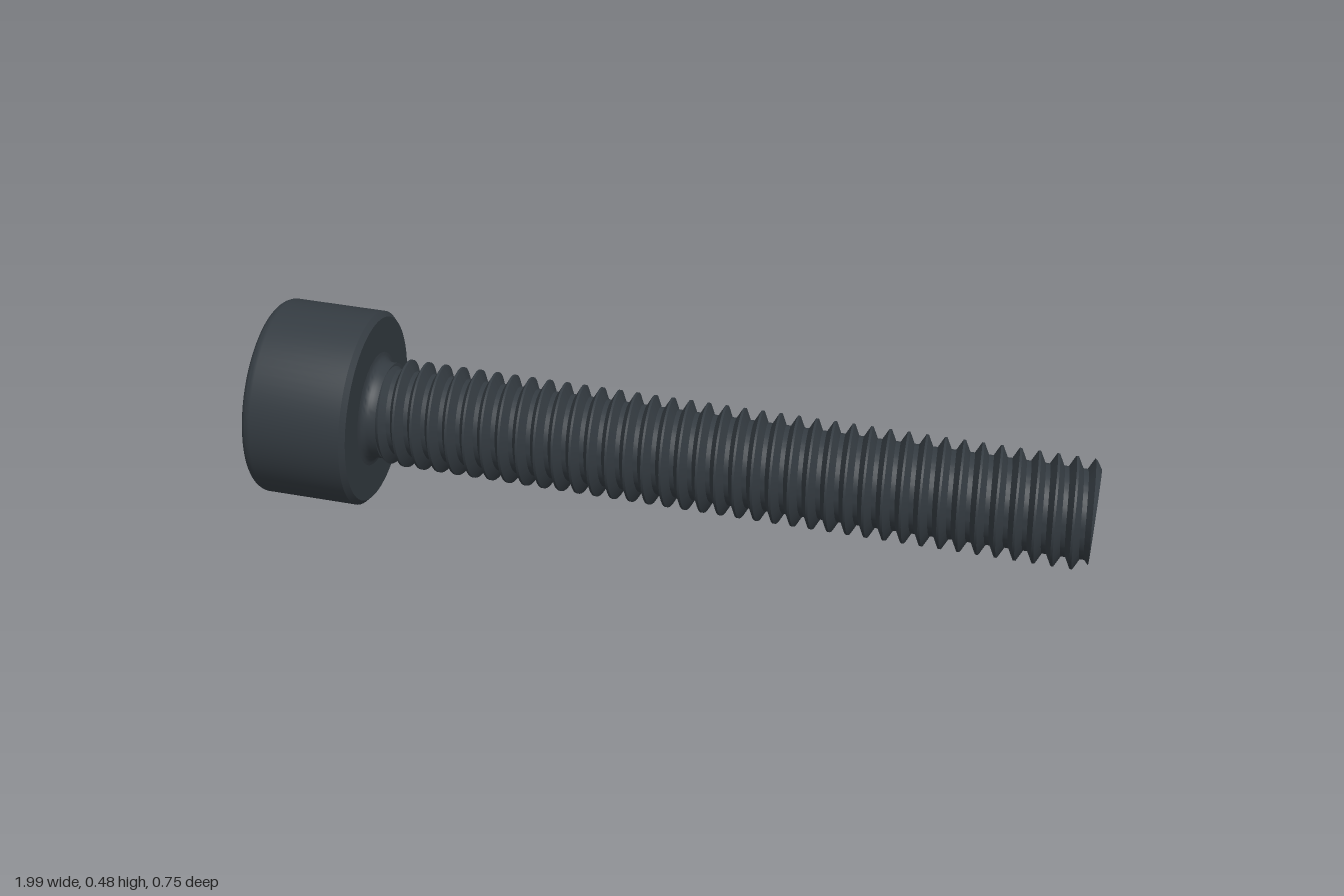
import * as THREE from 'three';
import { toCreasedNormals } from 'three/addons/utils/BufferGeometryUtils.js';

const SIDES = 72;
const HEAD_R = 0.2357, HEAD_H = 0.257, LENGTH = 1.971;
const MAJOR = 0.1286, MINOR = 0.103, TIP_R = 0.114, PITCH = 0.04285;

// Skin over rings running along y; each ring gives [radius, y] for an angle.
function loft(rings, crease = 0.5) {
  const rows = rings.map((ring) => {
    const row = [];
    for (let j = 0; j <= SIDES; j++) {
      const a = (j / SIDES) * Math.PI * 2;
      const [r, y] = ring(a);
      row.push(new THREE.Vector3(r * Math.cos(a), y, -r * Math.sin(a)));
    }
    return row;
  });
  const positions = [];
  const tri = new THREE.Triangle();
  const add = (a, b, c) => {
    if (tri.set(a, b, c).getArea() > 1e-9) positions.push(...a, ...b, ...c);
  };
  for (let i = 0; i < rows.length - 1; i++) {
    for (let j = 0; j < SIDES; j++) {
      const a = rows[i], b = rows[i + 1];
      add(a[j], a[j + 1], b[j + 1]);
      add(a[j], b[j + 1], b[j]);
    }
  }
  const geometry = new THREE.BufferGeometry();
  geometry.setAttribute('position', new THREE.Float32BufferAttribute(positions, 3));
  return toCreasedNormals(geometry, crease);
}

const circle = (r, y) => () => [r, y];

// Hexagonal socket with a conical lead-in
function socketGeometry() {
  const apothem = 0.107, mouth = 0.127, depth = 0.135;
  const hexR = (a) => {
    const sector = Math.PI / 3;
    return apothem / Math.cos((a % sector) - sector / 2);
  };
  return loft([
    circle(0, depth),
    (a) => [hexR(a), depth],
    (a) => [hexR(a), (mouth - hexR(a)) * 0.6],
    circle(mouth, 0),
  ]);
}

// Cylinder head: rounded outer rim, small chamfer underneath
function headGeometry() {
  const round = 0.026, chamfer = 0.012;
  const rings = [circle(0.127, 0)];
  for (let i = 0; i <= 6; i++) {
    const t = (i / 6) * Math.PI / 2;
    rings.push(circle(HEAD_R - round + round * Math.sin(t), round - round * Math.cos(t)));
  }
  rings.push(
    circle(HEAD_R, HEAD_H - chamfer),
    circle(HEAD_R - chamfer, HEAD_H),
    circle(0.1, HEAD_H),
  );
  return loft(rings);
}

// Filleted neck between head and thread
function neckGeometry() {
  const r = 0.116, fillet = 0.022, rings = [];
  for (let i = 0; i <= 5; i++) {
    const t = (i / 5) * Math.PI / 2;
    rings.push(circle(r + fillet * (1 - Math.sin(t)), HEAD_H + fillet * (1 - Math.cos(t))));
  }
  rings.push(circle(r, 0.293), circle(0.09, 0.297));
  return loft(rings);
}

// Right-handed helical thread, tapered at both ends and closed by a flat tip
function threadGeometry() {
  const start = 0.285, marks = [0, 0.125, 0.4375, 0.6875];
  const profile = (f) => {
    f -= Math.floor(f);
    if (f <= 0.125) return MAJOR;
    if (f < 0.4375) return THREE.MathUtils.mapLinear(f, 0.125, 0.4375, MAJOR, MINOR);
    if (f <= 0.6875) return MINOR;
    return THREE.MathUtils.mapLinear(f, 0.6875, 1, MINOR, MAJOR);
  };
  const envelope = (y) => Math.min(0.112 + (y - start) * 0.6, TIP_R + (LENGTH - y) * 0.9);
  const rings = [];
  const turns = Math.ceil((LENGTH - start) / PITCH);
  for (let k = -1; k <= turns; k++) {
    for (const m of marks) {
      rings.push((a) => {
        const turn = a / (Math.PI * 2);
        const y = THREE.MathUtils.clamp(start + PITCH * (k + m + turn), start, LENGTH);
        return [Math.min(profile((y - start) / PITCH - turn + 1e-7), envelope(y)), y];
      });
    }
  }
  rings.push(circle(0, LENGTH));
  return loft(rings);
}

export function createModel() {
  const steel = new THREE.MeshStandardMaterial({ color: 0x343b41 });
  steel.name = 'dark steel';

  const screw = new THREE.Group();
  screw.name = 'socketScrew';
  const parts = {
    head: headGeometry(),
    hexSocket: socketGeometry(),
    neck: neckGeometry(),
    threadedShaft: threadGeometry(),
  };
  for (const [name, geometry] of Object.entries(parts)) {
    const mesh = new THREE.Mesh(geometry, steel);
    mesh.name = name;
    screw.add(mesh);
  }

  // Lay the screw down, resting on its head rim and tip
  const axis = new THREE.Vector3(0.9765, -0.0625, 0.206).normalize();
  const side = new THREE.Vector3(0, 1, 0).cross(axis).normalize();
  const up = axis.clone().cross(side);
  screw.quaternion.setFromRotationMatrix(new THREE.Matrix4().makeBasis(up, axis, side));
  screw.position.set(-0.951, 0.252, -0.151);

  const model = new THREE.Group();
  model.name = 'model';
  model.add(screw);
  return model;
}
